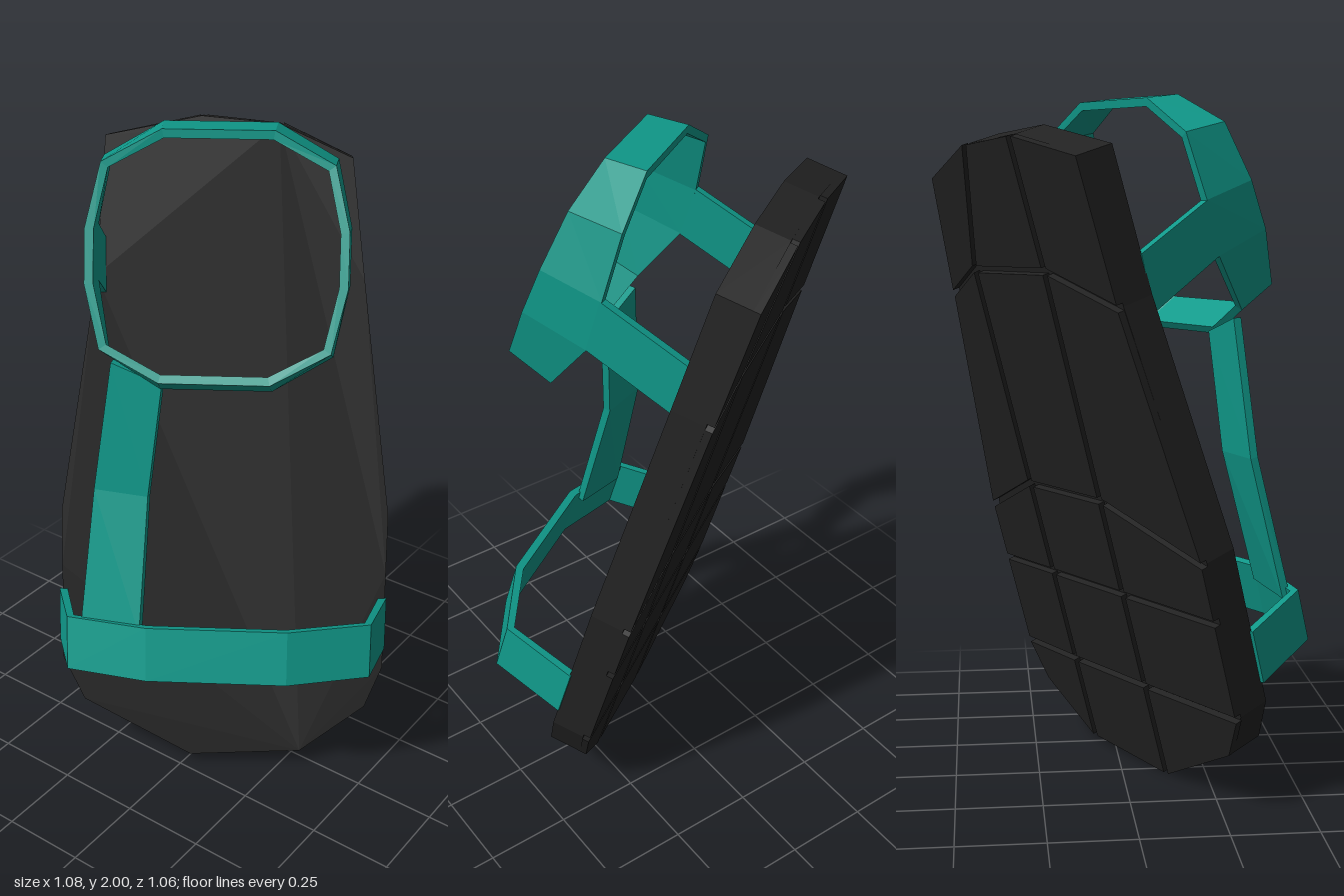
import * as THREE from 'three';

const rubber = new THREE.MeshStandardMaterial({ color: 0x222222, flatShading: true });
const webbing = new THREE.MeshStandardMaterial({ color: 0x10998a, flatShading: true });

// Sandal space: a = across, b = height above the ground side, c = from toe to heel.
const P = (a, b, c) => new THREE.Vector3(a, b, -c);

// Flat plate with an [a, c] outline, from height b0 to b1.
function plate(name, outline, b0, b1) {
  const shape = new THREE.Shape(outline.map(([a, c]) => new THREE.Vector2(a, c)));
  const geo = new THREE.ExtrudeGeometry(shape, { depth: b1 - b0, bevelEnabled: false });
  geo.rotateX(-Math.PI / 2).translate(0, b0, 0);
  const mesh = new THREE.Mesh(geo, rubber);
  mesh.name = name;
  return mesh;
}

// Strap between two edge lines A and B; its thickness goes inward.
function strap(name, A, B, closed = false, thickness = 0.024) {
  const n = A.length;
  const at = (i) => (closed ? (i + n) % n : Math.min(Math.max(i, 0), n - 1));
  const sections = A.map((p, i) => {
    const along = A[at(i + 1)].clone().sub(A[at(i - 1)]);
    const inward = along.cross(B[i].clone().sub(p)).setLength(-thickness);
    return [p, B[i], B[i].clone().add(inward), p.clone().add(inward)];
  });
  const pts = [];
  const quad = (p, q, r, s) => pts.push(p, q, r, p, r, s);
  for (let i = 0; i < (closed ? n : n - 1); i++) {
    const s = sections[i], t = sections[at(i + 1)];
    for (let k = 0; k < 4; k++) quad(s[k], t[k], t[(k + 1) % 4], s[(k + 1) % 4]);
  }
  if (!closed) {
    quad(...sections[0]);
    quad(...sections[n - 1].slice().reverse());
  }
  const geo = new THREE.BufferGeometry().setFromPoints(pts);
  geo.computeVertexNormals();
  const mesh = new THREE.Mesh(geo, webbing);
  mesh.name = name;
  return mesh;
}

// Rows of [a, c] across the sole, toe to heel; they define outline and tread.
const rows = [
  [[-0.435, 0.15], [-0.105, -0.024], [0.235, 0], [0.43, 0.155]],
  [[-0.5, 0.285], [-0.105, 0.28], [0.235, 0.28], [0.48, 0.285]],
  [[-0.5, 0.585], [-0.105, 0.585], [0.235, 0.585], [0.48, 0.585]],
  [[-0.5, 0.76], [-0.105, 0.88], [0.235, 0.88], [0.48, 0.77]],
  [[-0.39, 1.47], [-0.105, 1.557], [0.235, 1.55], [0.385, 1.47]],
  [[-0.362, 1.868], [-0.09, 1.925], [0.13, 1.907], [0.34, 1.815]],
];

function makeSole() {
  const sole = new THREE.Group();
  sole.name = 'sole';
  const last = rows.length - 1;
  const outline = [
    ...rows[0],
    ...rows.slice(1, last).map((r) => r[3]),
    ...rows[last].slice().reverse(),
    ...rows.slice(1, last).map((r) => r[0]).reverse(),
  ];
  sole.add(plate('footbed', outline, 0.104, 0.203));

  // Tread blocks, set back from each other to leave grooves
  const g = 0.01;
  for (let i = 0; i < last; i++) {
    for (let j = 0; j < 3; j++) {
      const corner = (di, dj) => {
        const [a, c] = rows[i + di][j + dj];
        const edgeA = j + dj === 0 || j + dj === 3;
        const edgeC = i + di === 0 || i + di === last;
        return [a + (edgeA ? 0 : dj ? -g : g), c + (edgeC ? 0 : di ? -g : g)];
      };
      sole.add(plate('treadBlock', [corner(0, 0), corner(0, 1), corner(1, 1), corner(1, 0)], 0.083, 0.104));
    }
  }
  return sole;
}

export function createModel() {
  const model = new THREE.Group();
  model.name = 'sandal';
  const sandal = new THREE.Group();
  sandal.name = 'tiltedSandal';
  model.add(sandal);
  sandal.add(makeSole());

  // Strap over the toes
  const arch = [[-0.51, 0.2], [-0.45, 0.443], [-0.213, 0.52], [0.19, 0.52], [0.43, 0.433], [0.485, 0.2]];
  sandal.add(strap('toeStrap', arch.map(([a, b]) => P(a, b, 0.347)), arch.map(([a, b]) => P(a, b, 0.508))));

  // Strap from the toe strap up to the ankle ring
  sandal.add(strap('instepStrap',
    [P(-0.235, 0.495, 0.48), P(-0.21, 0.497, 0.89), P(-0.165, 0.575, 1.225)],
    [P(-0.41, 0.442, 0.48), P(-0.365, 0.466, 0.9), P(-0.305, 0.558, 1.28)]));

  // Ankle ring: [a, c offset, height of the lower edge] for one half, toe to heel
  const half = [
    [0.15, -0.352, 0.575], [0.312, -0.26, 0.545], [0.353, -0.078, 0.468],
    [0.353, 0.078, 0.465], [0.312, 0.26, 0.475], [0.15, 0.352, 0.5],
  ];
  const loop = [...half, ...half.map(([a, c, b]) => [-a, c, b]).reverse()];
  const mid = -0.018;
  sandal.add(strap('ankleRing',
    loop.map(([a, c, b]) => P(mid + a, b, 1.567 + c)),
    loop.map(([a, c]) => P(mid + a * 0.97, 0.653 - 0.11 * c, 1.577 + c * 0.92)), true));

  // Side straps from the ring down to the sole
  for (const side of [1, -1]) {
    const foot = side > 0 ? 0.337 : -0.386;
    const top = mid + side * 0.353;
    const heelEdge = [P(foot, 0.2, 1.58), P(top, 0.47, 1.645)];
    const toeEdge = [P(foot, 0.2, 1.42), P(top, 0.47, 1.489)];
    sandal.add(side > 0
      ? strap('leftAnkleStrap', heelEdge, toeEdge)
      : strap('rightAnkleStrap', toeEdge, heelEdge));
  }

  // Stand the sandal on its toe, leaning back and turned to one side
  sandal.rotation.set(THREE.MathUtils.degToRad(74), THREE.MathUtils.degToRad(33), 0, 'YXZ');
  return model;
}
